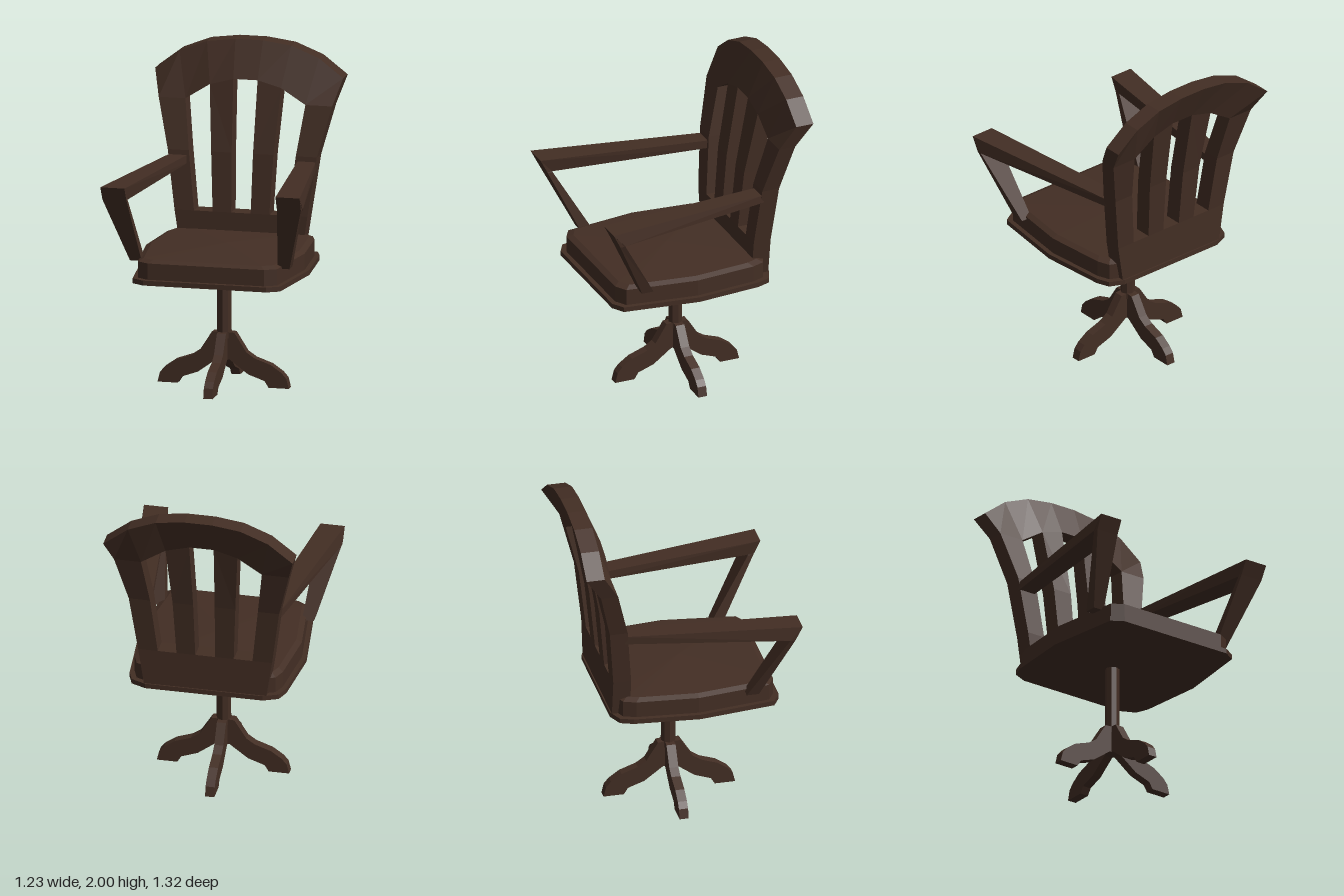
import * as THREE from 'three';

const wood = new THREE.MeshStandardMaterial({ color: 0x432e24 });
wood.name = 'darkWood';

// Solid skinned over cross-sections (rings of [x, y, z]) with fan caps, faceted
function loft(name, rings) {
  const tris = [];
  const n = rings[0].length;
  for (let r = 0; r < rings.length - 1; r++) {
    for (let i = 0; i < n; i++) {
      const j = (i + 1) % n;
      const a = rings[r][i], b = rings[r][j], c = rings[r + 1][j], d = rings[r + 1][i];
      tris.push([a, b, c], [a, c, d]);
    }
  }
  const first = rings[0], last = rings[rings.length - 1];
  for (let i = 1; i < n - 1; i++) {
    tris.push([first[0], first[i + 1], first[i]], [last[0], last[i], last[i + 1]]);
  }
  // Turn all faces outward when the enclosed volume comes out negative
  let volume = 0;
  for (const [a, b, c] of tris) {
    volume += new THREE.Vector3(...a).dot(new THREE.Vector3(...b).cross(new THREE.Vector3(...c)));
  }
  if (volume < 0) tris.forEach((t) => t.reverse());
  const geometry = new THREE.BufferGeometry();
  geometry.setAttribute('position', new THREE.Float32BufferAttribute(tris.flat(2), 3));
  geometry.computeVertexNormals();
  const mesh = new THREE.Mesh(geometry, wood);
  mesh.name = name;
  return mesh;
}

// Swivel base: four curved feet and a column
function createBase() {
  const base = new THREE.Group();
  base.name = 'swivelBase';
  const profile = [
    [0, 0.33], [0.07, 0.325], [0.143, 0.21], [0.195, 0.175], [0.295, 0.14], [0.36, 0.095],
    [0.39, 0.06], [0.405, 0], [0.28, 0], [0.255, 0.04], [0.155, 0.075], [0.08, 0.13], [0.04, 0.16], [0, 0.16],
  ];
  const thickness = 0.056;
  const footGeometry = new THREE.ExtrudeGeometry(
    new THREE.Shape(profile.map(([x, y]) => new THREE.Vector2(x, y))),
    { depth: thickness, bevelEnabled: false },
  );
  footGeometry.translate(0, 0, -thickness / 2);
  for (let i = 0; i < 4; i++) {
    const foot = new THREE.Mesh(footGeometry, wood);
    foot.name = 'foot';
    foot.rotation.y = (i * Math.PI) / 2;
    base.add(foot);
  }
  const columnGeometry = new THREE.CylinderGeometry(0.044, 0.044, 0.46, 8).toNonIndexed();
  columnGeometry.computeVertexNormals();
  const column = new THREE.Mesh(columnGeometry, wood);
  column.name = 'column';
  column.position.y = 0.52;
  base.add(column);
  base.position.set(-0.022, 0, -0.02);
  return base;
}

// Seat: thin bottom plate and a slightly domed slab
function createSeat() {
  const seat = new THREE.Group();
  seat.name = 'seat';
  const half = [[0.38, 0.575], [0.455, 0.53], [0.517, 0.06], [0.48, -0.34], [0.45, -0.42], [0.36, -0.46]];
  const outline = [...half, ...half.map(([x, z]) => [-x, z]).reverse()];
  const ring = (scale, y) => outline.map(([x, z]) => [x * scale + 0.006, y, (z - 0.05) * scale + 0.05]);
  seat.add(loft('seatPlate', [ring(1, 0.72), ring(1, 0.75)]));
  seat.add(loft('seatSlab', [
    ring(0.945, 0.75), ring(0.945, 0.85), ring(0.88, 0.866), ring(0.01, 0.888),
  ]));
  return seat;
}

// Fanned backrest: edge columns (x) crossed with arched rows (y and depth)
function createBack() {
  const back = new THREE.Group();
  back.name = 'backrest';
  const rows = [
    { x: [0.05, 0.16, 0.27, 0.375], y: [0.75, 0.75, 0.75, 0.75], front: -0.342, rear: -0.452 },
    { x: [0.06, 0.175, 0.29, 0.41], y: [0.98, 0.98, 0.98, 0.98], front: -0.342, rear: -0.452 },
    { x: [0.066, 0.192, 0.33, 0.46], y: [1.34, 1.34, 1.34, 1.34], front: -0.375, rear: -0.485 },
    { x: [0.075, 0.22, 0.37, 0.535], y: [1.775, 1.735, 1.64, 1.64], front: -0.452, rear: -0.557 },
    { x: [0.085, 0.26, 0.43, 0.58], y: [2, 1.977, 1.91, 1.795], front: -0.545, rear: -0.657 },
  ];
  const point = (r, c, side, face) => [side * rows[r].x[c], rows[r].y[c], rows[r][face]];
  // Rails run across the back
  const stations = [[3, -1], [2, -1], [1, -1], [0, -1], [0, 1], [1, 1], [2, 1], [3, 1]];
  const rail = (name, low, high) => loft(name, stations.map(([c, s]) => [
    point(low, c, s, 'front'), point(high, c, s, 'front'), point(high, c, s, 'rear'), point(low, c, s, 'rear'),
  ]));
  back.add(rail('lowerRail', 0, 1), rail('crestRail', 3, 4));
  // Slats and stiles run up between the rails
  for (const side of [1, -1]) {
    for (const [name, c] of [['slat', 0], ['stile', 2]]) {
      back.add(loft(name, [1, 2, 3].map((r) => [
        point(r, c, side, 'front'), point(r, c + 1, side, 'front'),
        point(r, c + 1, side, 'rear'), point(r, c, side, 'rear'),
      ])));
    }
  }
  return back;
}

// Armrest and slanted post, meeting in a mitre at the front
function createArm(side) {
  const arm = new THREE.Group();
  arm.name = side > 0 ? 'leftArm' : 'rightArm';
  const ring = (inner, outer, [y1, z1], [y2, z2]) => [
    [side * inner, y1, z1], [side * outer, y1, z1], [side * outer, y2, z2], [side * inner, y2, z2],
  ];
  const mitre = ring(0.466, 0.615, [1.33, 0.665], [1.245, 0.59]);
  arm.add(loft('armrest', [ring(0.34, 0.45, [1.31, -0.39], [1.26, -0.39]), mitre]));
  arm.add(loft('armPost', [
    mitre,
    ring(0.464, 0.612, [1.245, 0.622], [1.238, 0.586]),
    ring(0.42, 0.492, [0.835, 0.425], [0.835, 0.35]),
  ]));
  return arm;
}

export function createModel() {
  const chair = new THREE.Group();
  chair.name = 'swivelArmchair';
  chair.add(createBase(), createSeat(), createBack(), createArm(1), createArm(-1));
  return chair;
}
